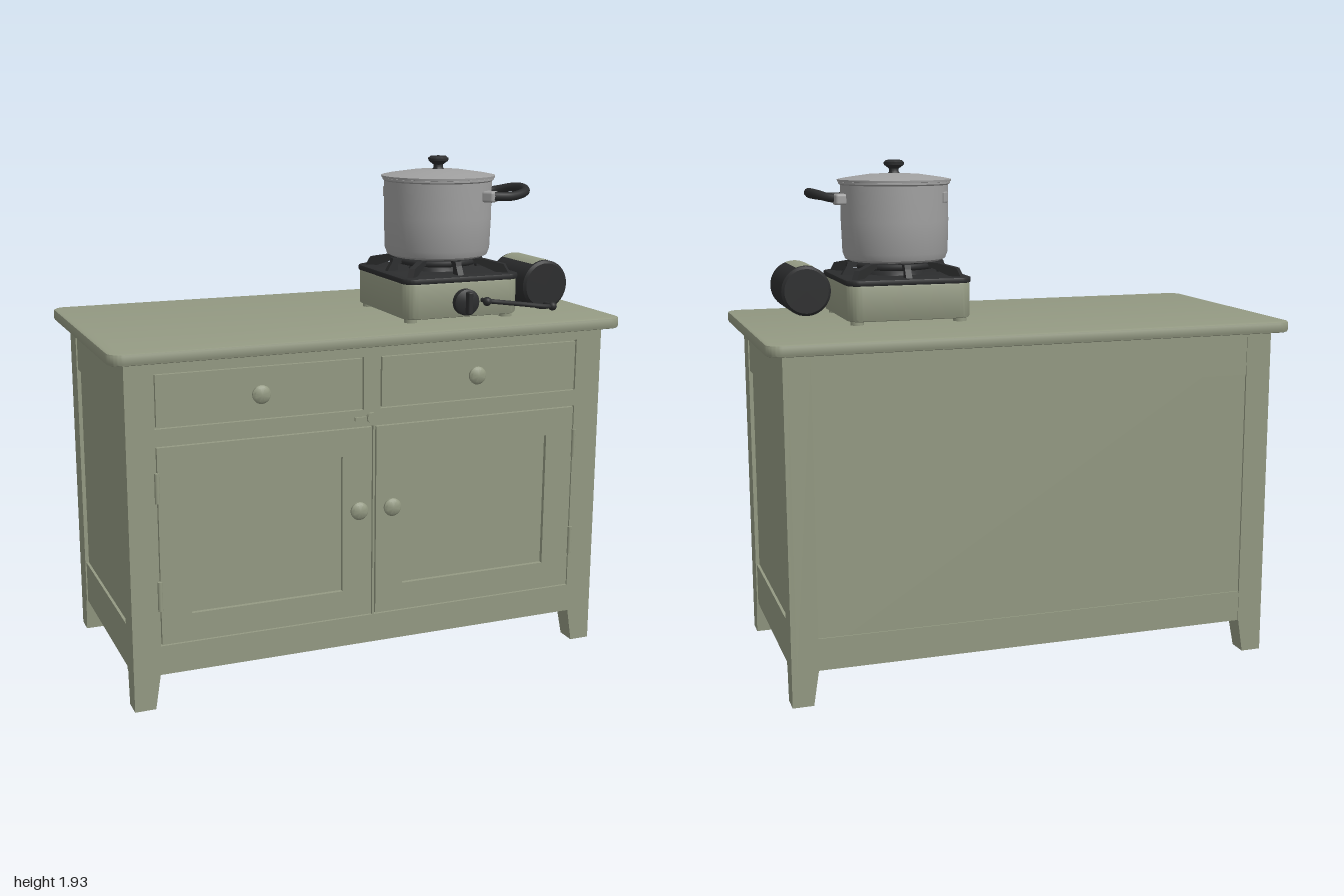
import * as THREE from 'three';
import { RoundedBoxGeometry } from 'three/addons/geometries/RoundedBoxGeometry.js';
import { toCreasedNormals } from 'three/addons/utils/BufferGeometryUtils.js';

const material = (name, color) => {
  const m = new THREE.MeshStandardMaterial({ color });
  m.name = name;
  return m;
};

export function createModel() {
  const sage = material('sage paint', 0x949a83);
  const metal = material('pot metal', 0xa0a0a0);
  const black = material('black iron', 0x2c2d2e);
  const root = new THREE.Group();
  root.name = 'cabinetWithCampStove';

  const group = (name, x = 0, y = 0, z = 0) => {
    const g = new THREE.Group();
    g.name = name;
    g.position.set(x, y, z);
    root.add(g);
    return g;
  };
  const add = (parent, name, geometry, mat, x = 0, y = 0, z = 0) => {
    const m = new THREE.Mesh(geometry, mat);
    m.name = name;
    m.position.set(x, y, z);
    parent.add(m);
    return m;
  };
  // Box given by its minimum and maximum corners
  const block = (parent, name, x0, x1, y0, y1, z0, z1, mat = sage) =>
    add(parent, name, new THREE.BoxGeometry(x1 - x0, y1 - y0, z1 - z0), mat,
      (x0 + x1) / 2, (y0 + y1) / 2, (z0 + z1) / 2);
  const rect = (T, [x0, x1, y0, y1]) => {
    const s = new T();
    s.moveTo(x0, y0); s.lineTo(x1, y0); s.lineTo(x1, y1); s.lineTo(x0, y1); s.closePath();
    return s;
  };
  // Flat board with rectangular openings
  const board = (outer, holes, depth) => {
    const s = rect(THREE.Shape, outer);
    s.holes = holes.map((h) => rect(THREE.Path, h));
    return new THREE.ExtrudeGeometry(s, { depth, bevelEnabled: false });
  };
  const roundedRect = (w, d, r) => {
    const s = new THREE.Shape(), x = w / 2, y = d / 2;
    s.absarc(x - r, y - r, r, 0, Math.PI / 2);
    s.absarc(-x + r, y - r, r, Math.PI / 2, Math.PI);
    s.absarc(-x + r, -y + r, r, Math.PI, Math.PI * 1.5);
    s.absarc(x - r, -y + r, r, Math.PI * 1.5, Math.PI * 2);
    return s;
  };
  // Horizontal rounded slab with a soft edge, its base on y = 0
  const slab = (w, h, d, r, b) => {
    const g = new THREE.ExtrudeGeometry(roundedRect(w - 2 * b, d - 2 * b, r), {
      depth: h - 2 * b, bevelSize: b, bevelThickness: b, bevelSegments: 2, curveSegments: 6 });
    return toCreasedNormals(g.rotateX(-Math.PI / 2).translate(0, b, 0), 0.6);
  };
  const lathe = (pts, n = 40) => toCreasedNormals(
    new THREE.LatheGeometry(pts.map(([x, y]) => new THREE.Vector2(x, y)), n), 0.7);
  const tube = (pts, r, n = 32) => new THREE.TubeGeometry(
    new THREE.CatmullRomCurve3(pts.map((p) => new THREE.Vector3(...p))), n, r, 10);

  // Cabinet carcass and worktop
  const cabinet = group('cabinet');
  block(cabinet, 'carcass', -0.925, 0.925, 0.13, 1.285, -0.447, 0.44);
  add(cabinet, 'worktop', slab(2, 0.042, 1.03, 0.045, 0.008), sage, 0, 1.284, 0);

  // Front frame with openings for drawers and doors
  const drawers = [[-0.837, -0.054, 1.042, 1.24], [0.012, 0.833, 1.042, 1.24]];
  const doors = [[-0.837, -0.016, 0.24, 0.98], [-0.008, 0.833, 0.24, 0.98]];
  const panels = [[-0.72, -0.137, 0.35, 0.872], [0.107, 0.713, 0.35, 0.872]];
  add(cabinet, 'frontFrame', board([-0.94, 0.94, 0.13, 1.285], [...drawers, ...doors], 0.015), sage, 0, 0, 0.44);
  const shrink = ([a, b, c, d], g) => [a + g, b - g, c + g, d - g];
  for (const d of drawers) add(cabinet, 'drawerFront', board(shrink(d, 0.006), [], 0.015), sage, 0, 0, 0.44);
  doors.forEach((d, i) => add(cabinet, 'door', board(shrink(d, 0.005), [panels[i]], 0.016), sage, 0, 0, 0.44));

  // Posts, rails and tapered feet on the sides and back
  for (const s of [-1, 1]) {
    const side = (name, x, y0, y1, z0, z1) =>
      block(cabinet, name, Math.min(s * 0.92, s * x), Math.max(s * 0.92, s * x), y0, y1, z0, z1);
    side('sidePost', 0.94, 0.13, 1.285, 0.355, 0.44);
    side('sidePost', 0.94, 0.13, 1.285, -0.455, -0.355);
    side('sideRail', 0.935, 0.13, 0.295, -0.355, 0.355);
    side('sideRail', 0.935, 1.1, 1.24, -0.355, 0.355);
    side('sideRail', 0.94, 1.24, 1.285, -0.355, 0.355);
    block(cabinet, 'backPost', s > 0 ? 0.84 : -0.92, s > 0 ? 0.92 : -0.84, 0.13, 1.285, -0.455, -0.44);
    for (const f of [-1, 1]) {
      const foot = new THREE.BoxGeometry(0.1, 0.14, 0.09);
      const p = foot.attributes.position;
      for (let i = 0; i < p.count; i++) {
        if (p.getY(i) > 0) continue;
        if (p.getX(i) * s < 0) p.setX(i, -s * 0.028);
        if (p.getZ(i) * f < 0) p.setZ(i, -f * 0.032);
      }
      foot.computeVertexNormals();
      add(cabinet, 'foot', foot, sage, s * 0.89, 0.07, f * 0.41);
    }
    // Hinges
    for (const y of [0.43, 0.83])
      add(cabinet, 'hinge', new THREE.CylinderGeometry(0.009, 0.009, 0.11, 10), sage, s * 0.835, y, 0.457);
  }
  block(cabinet, 'backRail', -0.84, 0.84, 1.12, 1.285, -0.452, -0.44);
  block(cabinet, 'backRail', -0.84, 0.84, 0.13, 0.25, -0.452, -0.44);

  // Round pulls and the latch
  const pull = lathe([[0.016, 0], [0.014, 0.012], [0.033, 0.02], [0.034, 0.03], [0.026, 0.038], [0, 0.041]], 20);
  pull.rotateX(Math.PI / 2);
  for (const [x, y] of [[-0.455, 1.14], [0.395, 1.14], [-0.08, 0.666], [0.053, 0.666]])
    add(cabinet, 'pull', pull, sage, x, y, 0.454);
  block(cabinet, 'latchBar', -0.09, -0.015, 1.003, 1.017, 0.455, 0.464);
  const pivot = add(cabinet, 'latchPivot', new THREE.CylinderGeometry(0.02, 0.02, 0.02, 14), sage, -0.025, 1.012, 0.462);
  pivot.rotation.x = Math.PI / 2;

  // Camp stove body
  const stove = group('stove', 0.395, 1.326, 0.113);
  add(stove, 'stoveBody', slab(0.48, 0.138, 0.49, 0.045, 0.01), sage, 0, 0.014, 0);
  add(stove, 'stoveTopPlate', slab(0.486, 0.022, 0.496, 0.045, 0.006), black, 0, 0.147, 0);
  for (const x of [-0.2, 0.2]) for (const z of [-0.2, 0.2])
    add(stove, 'stoveFoot', new THREE.CylinderGeometry(0.025, 0.025, 0.02, 14), sage, x, 0.009, z);
  add(stove, 'burner', lathe([[0.11, 0], [0.1, 0.02], [0.07, 0.035], [0, 0.035]], 28), black, 0, 0.166, 0);

  // Grate arms, long on the diagonals and short between
  for (let i = 0; i < 8; i++) {
    const end = i % 2 ? 0.295 : 0.215;
    const s = new THREE.Shape();
    s.moveTo(0.08, 0.03); s.lineTo(0.1, 0.05); s.lineTo(0.19, 0.05);
    s.lineTo(end - 0.02, 0.034); s.lineTo(end, 0); s.lineTo(end - 0.045, 0);
    s.lineTo(0.17, 0.03); s.closePath();
    const arm = new THREE.ExtrudeGeometry(s, { depth: 0.024, bevelEnabled: false });
    arm.translate(0, 0, -0.012);
    add(stove, 'grateArm', arm, black, 0, 0.167, 0).rotation.y = i * Math.PI / 4;
  }
  const ring = add(stove, 'grateRing', new THREE.TorusGeometry(0.145, 0.012, 8, 32), black, 0, 0.203, 0);
  ring.rotation.x = Math.PI / 2;

  // Stove control knob
  const dial = lathe([[0.03, 0], [0.05, 0.006], [0.05, 0.03], [0.042, 0.036], [0, 0.036]], 24).rotateX(Math.PI / 2);
  add(stove, 'controlKnob', dial, black, 0, 0.074, 0.242);
  add(stove, 'controlGrip', new RoundedBoxGeometry(0.02, 0.085, 0.03, 2, 0.006), black, 0, 0.074, 0.288);

  // Gas canister lying front to back, with a pale strip on top
  const gas = group('gasCanister', 0.752, 1.44, 0.208);
  const can = lathe([[0, -0.137], [0.085, -0.137], [0.095, -0.128], [0.095, 0.128], [0.085, 0.137], [0, 0.137]], 40);
  add(gas, 'canister', can.rotateX(Math.PI / 2), black);
  const strip = new THREE.CylinderGeometry(0.0965, 0.0965, 0.24, 12, 1, true, Math.PI - 0.38, 0.94);
  add(gas, 'canisterStrip', strip.rotateX(Math.PI / 2), sage);

  // Gas pipe from stove to canister
  const pipe = group('gasPipe');
  add(pipe, 'pipe', tube([[0.47, 1.402, 0.36], [0.475, 1.402, 0.39], [0.5, 1.4, 0.403], [0.62, 1.383, 0.403],
    [0.735, 1.367, 0.403], [0.752, 1.367, 0.39], [0.752, 1.37, 0.34]], 0.009), black);
  for (const [x, y] of [[0.47, 1.402], [0.752, 1.367]])
    add(pipe, 'pipeJoint', new THREE.SphereGeometry(0.017, 14, 10), black, x, y, 0.4);

  // Cooking pot and lid
  const pot = group('pot', 0.395, 0, 0.113);
  add(pot, 'potBody', lathe([[0, 1.547], [0.175, 1.547], [0.194, 1.556], [0.203, 1.58],
    [0.207, 1.7], [0.207, 1.835], [0.214, 1.84], [0.214, 1.847], [0, 1.847]], 48), metal);
  add(pot, 'lid', lathe([[0.2, 1.846], [0.218, 1.848], [0.219, 1.856], [0.19, 1.862], [0.1, 1.875], [0, 1.88]], 48), metal);
  add(pot, 'lidKnob', lathe([[0.026, 1.874], [0.018, 1.885], [0.018, 1.895], [0.038, 1.91],
    [0.039, 1.92], [0.03, 1.928], [0, 1.93]], 24), black);

  // Side handle with two mounts
  add(pot, 'handle', tube([[0.135, 1.785, 0.2], [0.215, 1.783, 0.2], [0.29, 1.795, 0.165], [0.313, 1.805, 0.105],
    [0.3, 1.803, 0.04], [0.26, 1.79, -0.01], [0.215, 1.783, -0.03]], 0.017, 40), black);
  for (const [x, z] of [[0.13, 0.185], [0.218, -0.032]]) {
    const mount = add(pot, 'handleMount', new RoundedBoxGeometry(0.05, 0.042, 0.05, 2, 0.01), metal, x, 1.783, z);
    mount.rotation.y = -Math.atan2(z, x);
  }
  const bracket = add(pot, 'rearBracket', new RoundedBoxGeometry(0.012, 0.04, 0.035, 2, 0.004), metal, -0.165, 1.79, -0.128);
  bracket.rotation.y = -Math.atan2(-0.128, -0.165);

  return root;
}
